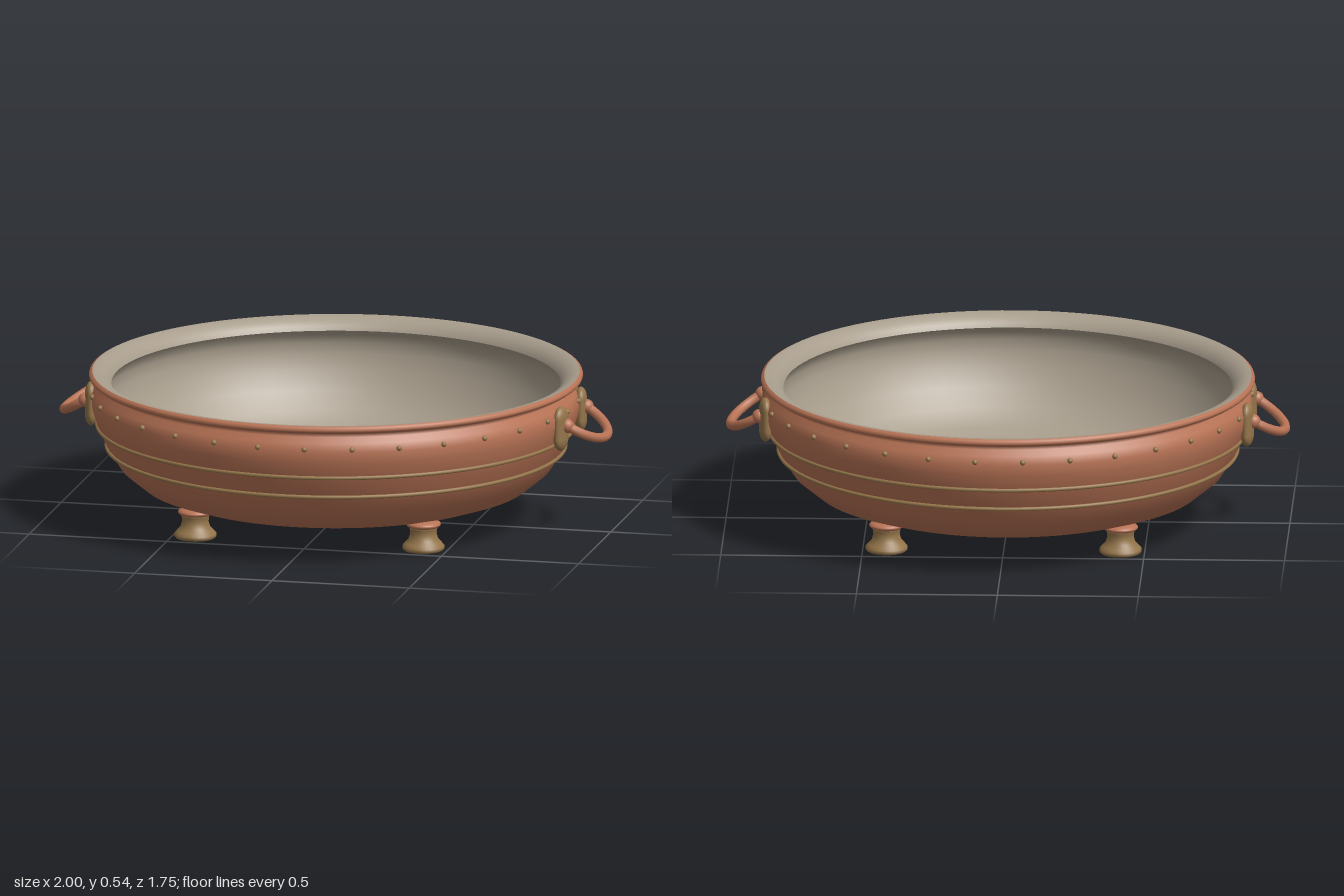
import * as THREE from 'three';

const copper = new THREE.MeshStandardMaterial({ name: 'copper', color: 0xb87355 });
const tin = new THREE.MeshStandardMaterial({ name: 'tin lining', color: 0xa89d8c });
const brass = new THREE.MeshStandardMaterial({ name: 'brass', color: 0x94754a });

function add(parent, name, geometry, material) {
  const mesh = new THREE.Mesh(geometry, material);
  mesh.name = name;
  parent.add(mesh);
  return mesh;
}

// Turned part from [radius, height] pairs
function lathe(points, segments) {
  return new THREE.LatheGeometry(points.map(([r, y]) => new THREE.Vector2(r, y)), segments);
}

function makeFoot() {
  const foot = new THREE.Group();
  foot.name = 'foot';
  add(foot, 'footPedestal', lathe([
    [0, 0], [0.068, 0], [0.075, 0.006], [0.075, 0.016], [0.066, 0.026],
    [0.053, 0.04], [0.047, 0.06], [0.049, 0.078], [0.056, 0.092], [0, 0.1],
  ], 32), brass);
  const collar = add(foot, 'footCollar', new THREE.SphereGeometry(0.062, 32, 16), copper);
  collar.scale.y = 0.3;
  collar.position.y = 0.094;
  return foot;
}

function makeHandle() {
  const handle = new THREE.Group();
  handle.name = 'handle';

  // Drooping half ring
  const path = [];
  for (let i = 0; i <= 16; i++) {
    const a = (i / 16) * Math.PI;
    const s = Math.sin(a);
    path.push(new THREE.Vector3(0.873 + 0.111 * s, 0.418 - 0.068 * s, 0.153 * Math.cos(a)));
  }
  add(handle, 'handleRing', new THREE.TubeGeometry(new THREE.CatmullRomCurve3(path), 48, 0.017, 12), copper);

  for (const side of [-1, 1]) {
    // Rounded oval mounting plate, flattened against the wall
    const plate = add(handle, 'handlePlate', new THREE.CapsuleGeometry(0.044, 0.072, 12, 24), brass);
    plate.scale.x = 0.5;
    plate.position.set(0.855, 0.405, side * 0.155);
    plate.rotation.y = -side * 0.18;
    const boss = add(handle, 'handleBoss', new THREE.SphereGeometry(0.026, 20, 14), copper);
    boss.position.set(0.876, 0.416, side * 0.153);
  }
  return handle;
}

export function createModel() {
  const model = new THREE.Group();
  model.name = 'footedBasin';

  // Outer shell with rolled lip
  add(model, 'bowlShell', lathe([
    [0, 0.085], [0.3, 0.085], [0.51, 0.087], [0.6, 0.102], [0.69, 0.133], [0.765, 0.195],
    [0.81, 0.265], [0.847, 0.345], [0.864, 0.4], [0.867, 0.44], [0.857, 0.47],
    [0.838, 0.49], [0.838, 0.503], [0.862, 0.508],
  ], 96), copper);
  add(model, 'bowlLip', lathe([
    [0.845, 0.508], [0.866, 0.509], [0.874, 0.515], [0.876, 0.522], [0.873, 0.53], [0.864, 0.535],
  ], 96), copper);

  // Sloping rim and lining
  add(model, 'rimLining', lathe([
    [0.864, 0.535], [0.845, 0.533], [0.822, 0.522], [0.804, 0.506], [0.796, 0.49],
  ], 96), tin);
  add(model, 'bowlLining', lathe([
    [0.796, 0.49], [0.815, 0.47], [0.828, 0.44], [0.826, 0.4], [0.812, 0.345], [0.78, 0.28],
    [0.735, 0.215], [0.665, 0.16], [0.58, 0.13], [0.49, 0.115], [0.3, 0.112], [0, 0.112],
  ], 96), tin);

  // Raised bands round the wall
  for (const [radius, y] of [[0.814, 0.265], [0.848, 0.343]]) {
    const band = add(model, 'band', new THREE.TorusGeometry(radius, 0.007, 8, 96), brass);
    band.rotation.x = Math.PI / 2;
    band.position.y = y;
  }

  // Ring of rivets
  const rivetGeometry = new THREE.SphereGeometry(0.01, 10, 8);
  for (let i = 0; i < 32; i++) {
    const a = ((i + 0.5) / 32) * Math.PI * 2;
    const rivet = add(model, 'rivet', rivetGeometry, brass);
    rivet.position.set(0.865 * Math.sin(a), 0.45, 0.865 * Math.cos(a));
  }

  // Four feet
  for (const x of [-0.415, 0.415]) {
    for (const z of [-0.415, 0.415]) {
      const foot = makeFoot();
      foot.position.set(x, 0, z);
      model.add(foot);
    }
  }

  // Handle on each side
  for (const turn of [0, Math.PI]) {
    const handle = makeHandle();
    handle.rotation.y = turn;
    model.add(handle);
  }
  return model;
}
